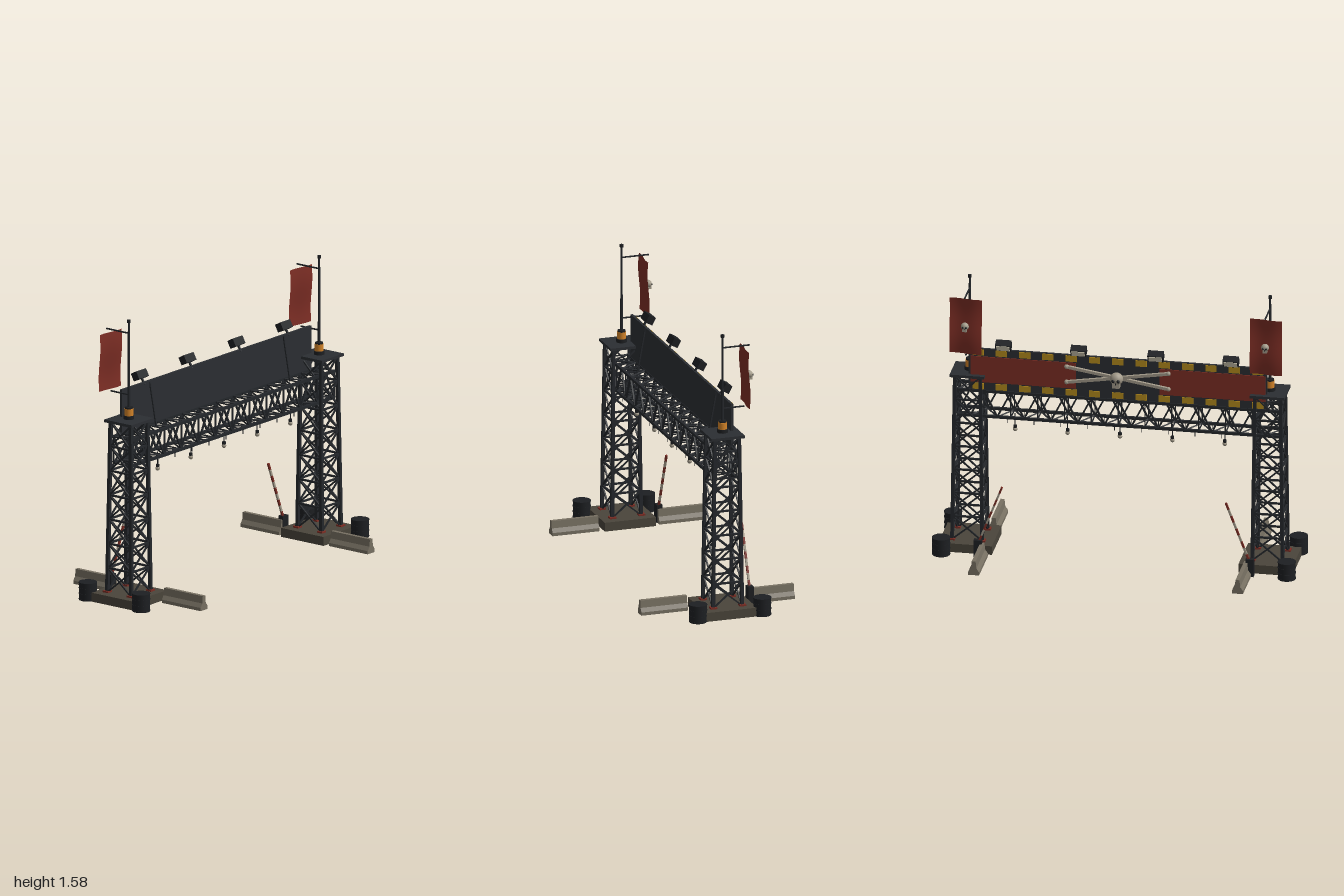
import * as THREE from 'three';

const mat = (color, extra = {}) => new THREE.MeshStandardMaterial({ color, ...extra });
const steel = mat(0x24272b), dark = mat(0x1d1f22), panelGrey = mat(0x2b2e32);
const concrete = mat(0x4a453b), barrierGrey = mat(0x777062), red = mat(0x7c2d24);
const cloth = mat(0x7c2d24, { side: THREE.DoubleSide });
const yellow = mat(0xb38a1c), orange = mat(0xd58428), bone = mat(0xa39b8a), cream = mat(0xd8d0b8);
const V = (x, y, z) => new THREE.Vector3(x, y, z);

function add(parent, name, geo, material, x = 0, y = 0, z = 0) {
  const m = new THREE.Mesh(geo, material);
  m.name = name;
  m.position.set(x, y, z);
  parent.add(m);
  return m;
}
const box = (p, name, w, h, d, m, x, y, z) => add(p, name, new THREE.BoxGeometry(w, h, d), m, x, y, z);
const cyl = (p, name, r, h, m, x, y, z, n = 12, r2 = r) =>
  add(p, name, new THREE.CylinderGeometry(r2, r, h, n), m, x, y, z);

// Square bar running from a to b
function bar(p, name, a, b, t, m = steel) {
  const d = b.clone().sub(a);
  const mesh = box(p, name, t, d.length(), t, m, 0, 0, 0);
  mesh.position.copy(a).add(b).multiplyScalar(0.5);
  mesh.quaternion.setFromUnitVectors(V(0, 1, 0), d.normalize());
  return mesh;
}

function group(parent, name, x = 0, y = 0, z = 0) {
  const g = new THREE.Group();
  g.name = name;
  g.position.set(x, y, z);
  parent.add(g);
  return g;
}

// Tapered lattice tower with seven cross-braced bays
function tower(parent, x) {
  const g = group(parent, 'tower', x);
  const corners = [[-1, -1], [1, -1], [1, 1], [-1, 1]], bays = 7;
  const at = (c, level) => {
    const t = level / bays, h = 0.083 - 0.013 * t;
    return V(c[0] * h, 0.05 + 0.955 * t, c[1] * h);
  };
  corners.forEach((c, i) => {
    const n = corners[(i + 1) % 4], foot = at(c, 0);
    bar(g, 'towerLeg', foot, at(c, bays), 0.018);
    box(g, 'footPlate', 0.036, 0.01, 0.036, red, foot.x, 0.054, foot.z);
    for (let k = 0; k < bays; k++) {
      if (k) bar(g, 'towerRail', at(c, k), at(n, k), 0.01);
      bar(g, 'towerBrace', at(c, k), at(n, k + 1), 0.008);
      bar(g, 'towerBrace', at(n, k), at(c, k + 1), 0.008);
    }
  });
  box(g, 'towerTopPlate', 0.19, 0.015, 0.19, panelGrey, 0, 1.012, 0);
  box(g, 'towerBase', 0.294, 0.05, 0.294, concrete, 0, 0.025, 0);
}

// Box girder between the towers
function truss(parent) {
  const g = group(parent, 'crossTruss');
  const L = 0.885, n = 24, lo = 0.775, hi = 0.922, w = 0.057;
  for (const y of [lo, hi]) for (const z of [-w, w]) bar(g, 'chord', V(-L, y, z), V(L, y, z), 0.015);
  for (let i = 0; i <= n; i++) {
    const a = -L + (2 * L * i) / n, b = a + (2 * L) / n, odd = i % 2;
    for (const y of [lo, hi]) bar(g, 'trussTie', V(a, y, -w), V(a, y, w), 0.006);
    if (!odd) for (const z of [-w, w]) bar(g, 'trussPost', V(a, lo, z), V(a, hi, z), 0.006);
    if (i === n) break;
    for (const s of [-1, 1]) {
      const up = odd ? s : -s;
      bar(g, 'trussWeb', V(a, up > 0 ? hi : lo, s * w), V(b, up > 0 ? lo : hi, s * w), 0.009);
      bar(g, 'trussLacing', V(a, s > 0 ? hi : lo, up * w), V(b, s > 0 ? hi : lo, -up * w), 0.008);
    }
    // Short cable ends under the girder
    if (i > 2 && i < n - 3) cyl(g, 'cableEnd', 0.002, 0.025, dark, a + 0.02, 0.755, odd ? w : -w, 5);
  }
  // Hanging bulbs
  for (let i = -2; i <= 2; i++) {
    cyl(g, 'bulbCord', 0.003, 0.09, dark, i * 0.288, 0.735, 0, 6);
    cyl(g, 'bulbSocket', 0.01, 0.016, dark, i * 0.288, 0.702, 0, 8);
    add(g, 'bulb', new THREE.SphereGeometry(0.013, 10, 8), bone, i * 0.288, 0.687, 0);
  }
}

// Skull emblem facing backwards
function skull(parent, x, y, z, r) {
  const g = group(parent, 'skullEmblem', x, y, z);
  const head = add(g, 'cranium', new THREE.SphereGeometry(r, 12, 9), bone, 0, r * 0.2, 0);
  head.scale.set(1, 0.95, 0.9);
  box(g, 'jaw', r * 1.1, r * 0.7, r * 0.9, bone, 0, -r * 0.75, -r * 0.2);
  for (const s of [-1, 1])
    add(g, 'eyeSocket', new THREE.SphereGeometry(r * 0.26, 8, 6), dark, s * r * 0.38, r * 0.1, -r * 0.76);
  box(g, 'noseSlot', r * 0.18, r * 0.28, r * 0.2, dark, 0, -r * 0.32, -r * 0.78);
}

// Sign board with a decorated back
function sign(parent) {
  const g = group(parent, 'signBoard');
  const z = -0.057, face = -0.066, W = 1.64;
  box(g, 'signPanel', W, 0.24, 0.014, panelGrey, 0, 1.052, z);
  for (const s of [-1, 1]) {
    box(g, 'redField', 0.58, 0.15, 0.006, red, s * 0.52, 1.052, face);
    bar(g, 'signStrut', V(s * 0.58, 1.165, -0.05), V(s * 0.58, 0.92, -0.005), 0.008);
    for (let i = -6; i <= 6; i++)
      box(g, 'hazardBlock', 0.062, 0.035, 0.006, yellow, i * 0.128, 1.052 + s * 0.099, face);
    bar(g, 'crossedBone', V(-0.28, 1.062 - s * 0.045, -0.077), V(0.28, 1.062 + s * 0.045, -0.077), 0.016, bone);
    for (const e of [-1, 1])
      add(g, 'boneEnd', new THREE.SphereGeometry(0.013, 8, 6), bone, e * 0.28, 1.062 + e * s * 0.045, -0.077);
  }
  skull(g, 0, 1.062, -0.108, 0.037);
  // Floodlights tilted down at the back face
  for (const x of [-0.625, -0.212, 0.212, 0.625]) {
    bar(g, 'lightBracket', V(x, 1.16, -0.052), V(x, 1.205, -0.078), 0.01);
    const lamp = group(g, 'floodlight', x, 1.208, -0.083);
    lamp.rotation.x = -0.5;
    box(lamp, 'lightHousing', 0.085, 0.045, 0.042, dark, 0, 0, 0);
    box(lamp, 'lightLens', 0.073, 0.035, 0.004, cream, 0, 0, -0.022);
  }
}

// Pole, waving banner and warning beacon on a tower
function bannerPole(parent, x) {
  const g = group(parent, 'bannerPole', x);
  cyl(g, 'pole', 0.008, 0.55, steel, 0, 1.293, 0, 10, 0.006);
  cyl(g, 'poleCap', 0.01, 0.016, dark, 0, 1.567, 0, 10);
  bar(g, 'upperArm', V(0, 1.5, 0), V(0, 1.5, -0.155), 0.007);
  bar(g, 'lowerArm', V(0, 1.155, 0), V(0, 1.155, -0.125), 0.007);
  const geo = new THREE.PlaneGeometry(0.178, 0.32, 12, 12), p = geo.attributes.position;
  for (let i = 0; i < p.count; i++)
    p.setZ(i, 0.007 * Math.sin(p.getX(i) * 28) + 0.006 * Math.sin(p.getY(i) * 18));
  geo.computeVertexNormals();
  add(g, 'banner', geo, cloth, 0, 1.325, -0.128);
  skull(g, 0, 1.33, -0.153, 0.022);
  cyl(g, 'beaconBase', 0.029, 0.02, dark, 0, 1.03, 0, 14);
  cyl(g, 'beaconLens', 0.025, 0.04, orange, 0, 1.058, 0, 14);
  cyl(g, 'beaconCap', 0.022, 0.01, dark, 0, 1.082, 0, 14);
}

// Road barriers, drums and raised gate arm beside a tower
function roadside(parent, s) {
  const g = group(parent, 'roadside');
  const outline = [[-0.03, 0], [0.03, 0], [0.03, 0.018], [0.015, 0.04], [0.011, 0.08],
    [-0.011, 0.08], [-0.015, 0.04], [-0.03, 0.018]].map(([a, b]) => new THREE.Vector2(a, b));
  const barrier = new THREE.ExtrudeGeometry(new THREE.Shape(outline), { depth: 0.268, bevelEnabled: false });
  for (const side of [-1, 1]) {
    add(g, 'roadBarrier', barrier, barrierGrey, s * 0.725, 0, side > 0 ? 0.172 : -0.44);
    const z = side * 0.184;
    cyl(g, 'drum', 0.048, 0.1, dark, s * 0.95, 0.05, z, 18);
    for (const y of [0.005, 0.036, 0.067, 0.097]) cyl(g, 'drumRib', 0.05, 0.006, dark, s * 0.95, y, z, 18);
  }
  box(g, 'gatePost', 0.045, 0.1, 0.032, dark, s * 0.747, 0.05, -0.184);
  const a = V(s * 0.742, 0.09, -0.184), b = V(s * 0.615, 0.418, -0.184), n = 9;
  for (let i = 0; i < n; i++)
    bar(g, 'gateArmStripe', a.clone().lerp(b, i / n), a.clone().lerp(b, (i + 1) / n), 0.011, i % 2 ? bone : red);
}

export function createModel() {
  const root = new THREE.Group();
  root.name = 'gantryGate';
  for (const s of [-1, 1]) {
    tower(root, s * 0.825);
    bannerPole(root, s * 0.825);
    roadside(root, s);
  }
  truss(root);
  sign(root);
  return root;
}
